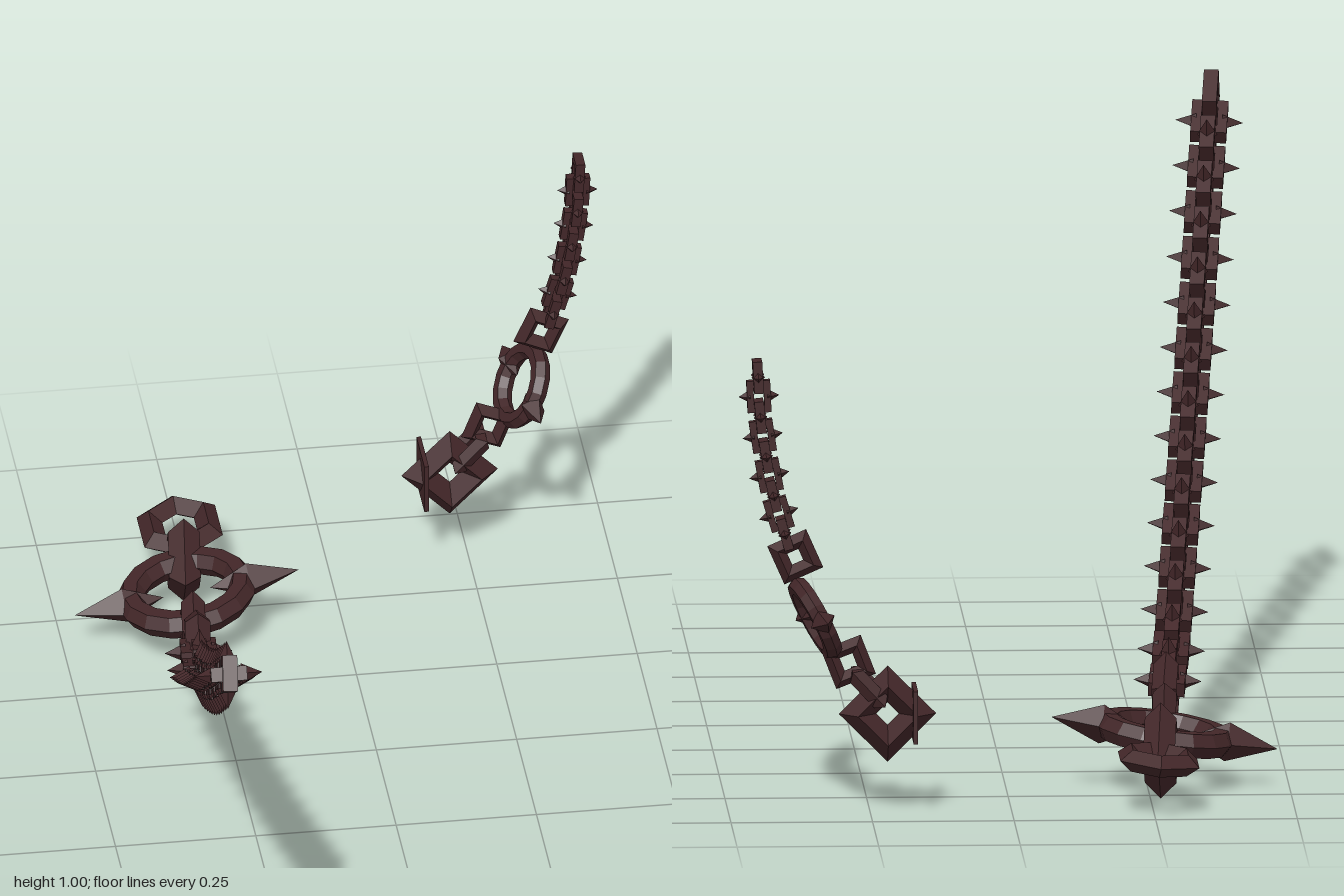
import * as THREE from 'three';

const V = (x, y, z) => new THREE.Vector3(x, y, z);
const X = V(1, 0, 0), UP = V(0, 1, 0), Z = V(0, 0, 1);

export function createModel() {
  const iron = new THREE.MeshStandardMaterial({ color: 0x422628 });
  iron.name = 'dark rusty iron';

  function part(name, geo) {
    const g = geo.index ? geo.toNonIndexed() : geo;
    g.computeVertexNormals(); // faceted
    const m = new THREE.Mesh(g, iron);
    m.name = name;
    return m;
  }

  // Four-sided spike along +-X from base to tip
  function spike(name, base, tip, radius) {
    const d = tip - base;
    return part(name, new THREE.ConeGeometry(radius, Math.abs(d), 4)
      .translate(0, Math.abs(d) / 2, 0).rotateZ(-Math.sign(d) * Math.PI / 2).translate(base, 0, 0));
  }

  // Small square-barred link in local XY, length along Y, optional side spikes
  function smallLink(name, w, l, bar, depth, tip) {
    const rect = (T, a, b) => new T().moveTo(-a, -b).lineTo(a, -b).lineTo(a, b).lineTo(-a, b).closePath();
    const shape = rect(THREE.Shape, w / 2, l / 2);
    shape.holes.push(rect(THREE.Path, w / 2 - bar, l / 2 - bar));
    const g = new THREE.Group();
    g.name = name;
    g.add(part('linkFrame', new THREE.ExtrudeGeometry(shape, { depth, bevelEnabled: false })
      .translate(0, 0, -depth / 2)));
    if (tip) for (const s of [-1, 1]) g.add(spike('linkSpike', s * (w / 2 - bar / 2), s * tip, bar));
    return g;
  }

  // Large ridged link: reach = centre to corner, bar = half thickness
  function link(name, reach, bar, { sides = 4, turn = Math.PI / 4, wide = 1, thick = 1 } = {}) {
    return part(name, new THREE.TorusGeometry(reach - bar, bar, 4, sides).rotateZ(turn).scale(wide, 1, thick));
  }

  // Round ring with a long double-ended spike on each side
  function spikedRing(name, radius, bar, tip) {
    const g = new THREE.Group();
    g.name = name;
    g.add(part('ringLoop', new THREE.TorusGeometry(radius, bar, 6, 16)));
    for (const s of [-1, 1]) {
      for (const end of [tip, radius * 0.42]) {
        g.add(spike('ringSpike', s * radius * 1.12, s * end, bar * 1.4));
      }
    }
    return g;
  }

  // Put an object at a point with local Y along dir and local X towards side
  function place(parent, obj, pos, dir, side) {
    const y = dir.clone().normalize();
    const x = side.clone().addScaledVector(y, -side.dot(y)).normalize();
    obj.quaternion.setFromRotationMatrix(new THREE.Matrix4().makeBasis(x, y, x.clone().cross(y)));
    obj.position.copy(pos);
    parent.add(obj);
  }

  // Run of alternating links along a curve
  function run(parent, points, count, sideA, sideB, make) {
    const curve = new THREE.CatmullRomCurve3(points);
    for (let i = 0; i < count; i++) {
      const t = i / (count - 1);
      place(parent, make(i), curve.getPointAt(t), curve.getTangentAt(t), i % 2 ? sideB : sideA);
    }
  }

  const model = new THREE.Group();
  model.name = 'spikedChains';

  // Long hanging chain
  const long = new THREE.Group();
  long.name = 'longChain';
  const sag = [[0.948, 0.96], [0.75, 0.828], [0.46, 0.633], [0.16, 0.443],
    [-0.03, 0.328], [-0.13, 0.268], [-0.23, 0.21], [-0.34, 0.165], [-0.39, 0.152]];
  run(long, sag.map(([z, y]) => V(-0.432 + (0.96 - z) * 0.1, y, z)), 28, UP, X,
    (i) => smallLink('longChainLink', 0.064, 0.082, 0.018, 0.026, i ? 0.06 : 0));
  place(long, link('ringJoiner', 0.073, 0.022), V(-0.291, 0.14, -0.445), V(0.1, -0.55, -1), UP);
  place(long, link('ringJoiner', 0.066, 0.021), V(-0.287, 0.116, -0.528), V(0.1, 0.4, -1), UP);
  place(long, spikedRing('largeRing', 0.1, 0.025, 0.202), V(-0.28, 0.105, -0.66),
    V(0, 0, -1), V(0.99, 0.15, 0));
  place(long, link('uprightLink', 0.086, 0.028, { turn: 0 }), V(-0.268, 0.095, -0.783), V(0.1, 0, -1), UP);
  place(long, link('endLink', 0.1, 0.03, { sides: 6, turn: Math.PI / 6, wide: 0.81, thick: 0.65 }),
    V(-0.26, 0.097, -0.89), V(0, 0, -1), V(0.99, 0.1, 0));
  model.add(long);

  // Short chain rising from a wall plate
  const short = new THREE.Group();
  short.name = 'shortChain';
  const zc = -0.87;
  const rise = [[0.447, 0.786], [0.443, 0.715], [0.433, 0.645], [0.42, 0.575], [0.4, 0.505]];
  run(short, rise.map(([x, y]) => V(x, y, zc)), 9, Z, X,
    () => smallLink('shortChainLink', 0.042, 0.057, 0.012, 0.017, 0.036));
  place(short, link('ringJoiner', 0.053, 0.019), V(0.381, 0.462, zc), V(0.4, 0.9, 0), X);
  place(short, spikedRing('smallRing', 0.064, 0.017, 0.12), V(0.346, 0.352, zc),
    V(0.45, 0.89, 0), V(-0.17, 0.04, -1));
  place(short, link('ringJoiner', 0.053, 0.018), V(0.287, 0.273, zc), V(0.35, 0.9, 0), X);
  place(short, link('crossLink', 0.06, 0.016, { wide: 0.8 }), V(0.252, 0.228, zc), V(0.7, 0.75, 0), Z);
  place(short, link('anchorLink', 0.086, 0.033), V(0.218, 0.18, zc), V(1, 1, 0), V(1, -1, 0));

  // Thin plate that holds the anchor link
  const plate = part('anchorPlate', new THREE.BoxGeometry(0.008, 0.094, 0.1));
  plate.position.set(0.17, 0.18, zc);
  short.add(plate);
  model.add(short);

  return model;
}
